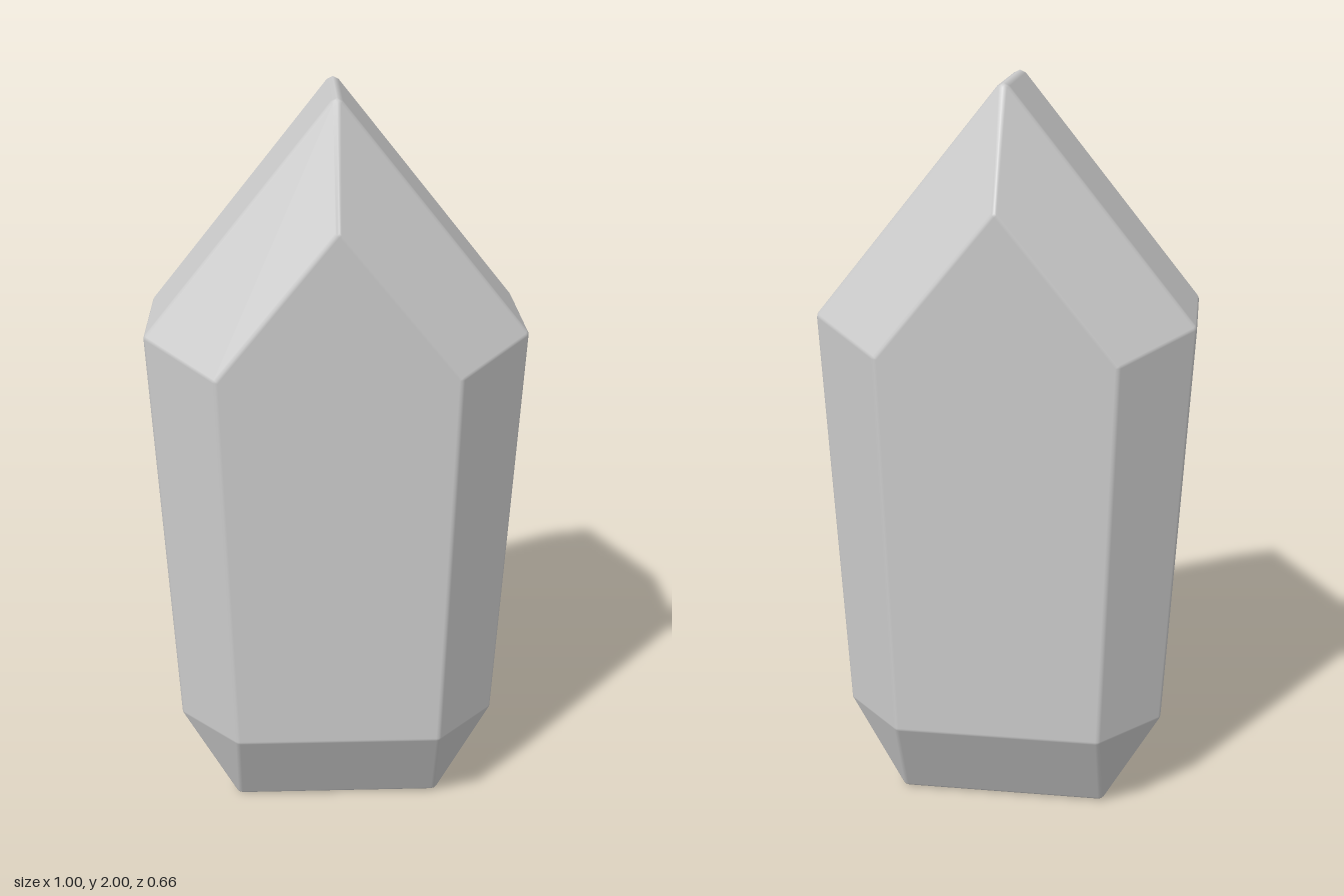
import * as THREE from 'three';
import { ConvexGeometry } from 'three/addons/geometries/ConvexGeometry.js';

const V = (x, y, z) => new THREE.Vector3(x, y, z);
const EDGE_RADIUS = 0.02;

// Sharp corners of one quarter of the crystal (+x, +z)
const base = V(0.285, 0, 0.205);
const lowFront = V(0.28, 0.26, 0.332), lowSide = V(0.443, 0.26, 0.167);
const highFront = V(0.31, 1.33, 0.332), highSide = V(0.498, 1.395, 0.167);
const ridgeEnd = V(0, 2.01, 0.167), frontPeak = V(0, 1.71, 0.332);

// Facet normals: from the diagonals of a facet, or from a slope seen edge-on
const facet = (a, b, c, d) => {
  const n = V().subVectors(c, a).cross(V().subVectors(d, b)).normalize();
  return n.z < 0 ? n.negate() : n;
};
const slopeX = (lo, hi) => V(hi.y - lo.y, lo.x - hi.x, 0).normalize();
const slopeZ = (lo, hi) => V(0, lo.z - hi.z, hi.y - lo.y).normalize();
const flipX = (n) => V(-n.x, n.y, n.z);

const bottom = V(0, -1, 0), front = V(0, 0, 1);
const side = slopeX(lowSide, highSide);
const roof = slopeX(highSide, ridgeEnd);
const footSide = slopeX(base, lowSide);
const footFront = slopeZ(base, lowFront);
const footCorner = facet(base, lowFront, lowSide, base);
const chamfer = facet(lowFront, lowSide, highSide, highFront);
const bevel = facet(highFront, highSide, ridgeEnd, frontPeak);

// Each corner with the facets that meet there
const corners = [
  [base, [bottom, footSide, footFront, footCorner]],
  [lowFront, [footFront, footCorner, chamfer, front]],
  [lowSide, [footSide, footCorner, chamfer, side]],
  [highFront, [front, chamfer, bevel]],
  [highSide, [side, chamfer, bevel, roof]],
  [ridgeEnd, [roof, flipX(roof), bevel, flipX(bevel)]],
  [frontPeak, [front, bevel, flipX(bevel)]],
];

// Centre of the ball that touches all facets of a corner from inside
function ballCentre(corner, normals) {
  const m = new Array(9).fill(0);
  const sum = V(0, 0, 0);
  for (const n of normals) {
    const a = n.toArray();
    for (let i = 0; i < 9; i++) m[i] += a[Math.floor(i / 3)] * a[i % 3];
    sum.add(n);
  }
  sum.applyMatrix3(new THREE.Matrix3().set(...m).invert());
  return corner.clone().addScaledVector(sum, -EDGE_RADIUS);
}

// Solid crystal with narrow rounded edges and flat-looking facets
function crystalGeometry() {
  const samples = [];
  for (const [corner, normals] of corners) {
    const centre = ballCentre(corner, normals);
    const directions = [...normals];
    normals.forEach((a, i) => {
      for (const b of normals.slice(i + 1)) directions.push(a.clone().add(b).normalize());
    });
    for (const sx of corner.x === 0 ? [1] : [1, -1]) {
      for (const sz of [1, -1]) {
        const mirror = V(sx, 1, sz);
        for (const d of directions) {
          const normal = d.clone().multiply(mirror);
          const point = centre.clone().multiply(mirror).addScaledVector(normal, EDGE_RADIUS);
          samples.push({ point, normal });
        }
      }
    }
  }

  const geometry = new ConvexGeometry(samples.map((s) => s.point));
  // Shade every hull vertex with the direction it was made from
  const { position, normal } = geometry.attributes;
  const p = V();
  for (let i = 0; i < position.count; i++) {
    p.fromBufferAttribute(position, i);
    let best = samples[0];
    for (const s of samples) {
      if (s.point.distanceToSquared(p) < best.point.distanceToSquared(p)) best = s;
    }
    normal.setXYZ(i, best.normal.x, best.normal.y, best.normal.z);
  }
  return geometry;
}

export function createModel() {
  const group = new THREE.Group();
  group.name = 'crystal';
  const body = new THREE.Mesh(
    crystalGeometry(),
    new THREE.MeshStandardMaterial({ color: 0xcccccc }),
  );
  body.name = 'crystalBody';
  group.add(body);
  return group;
}
